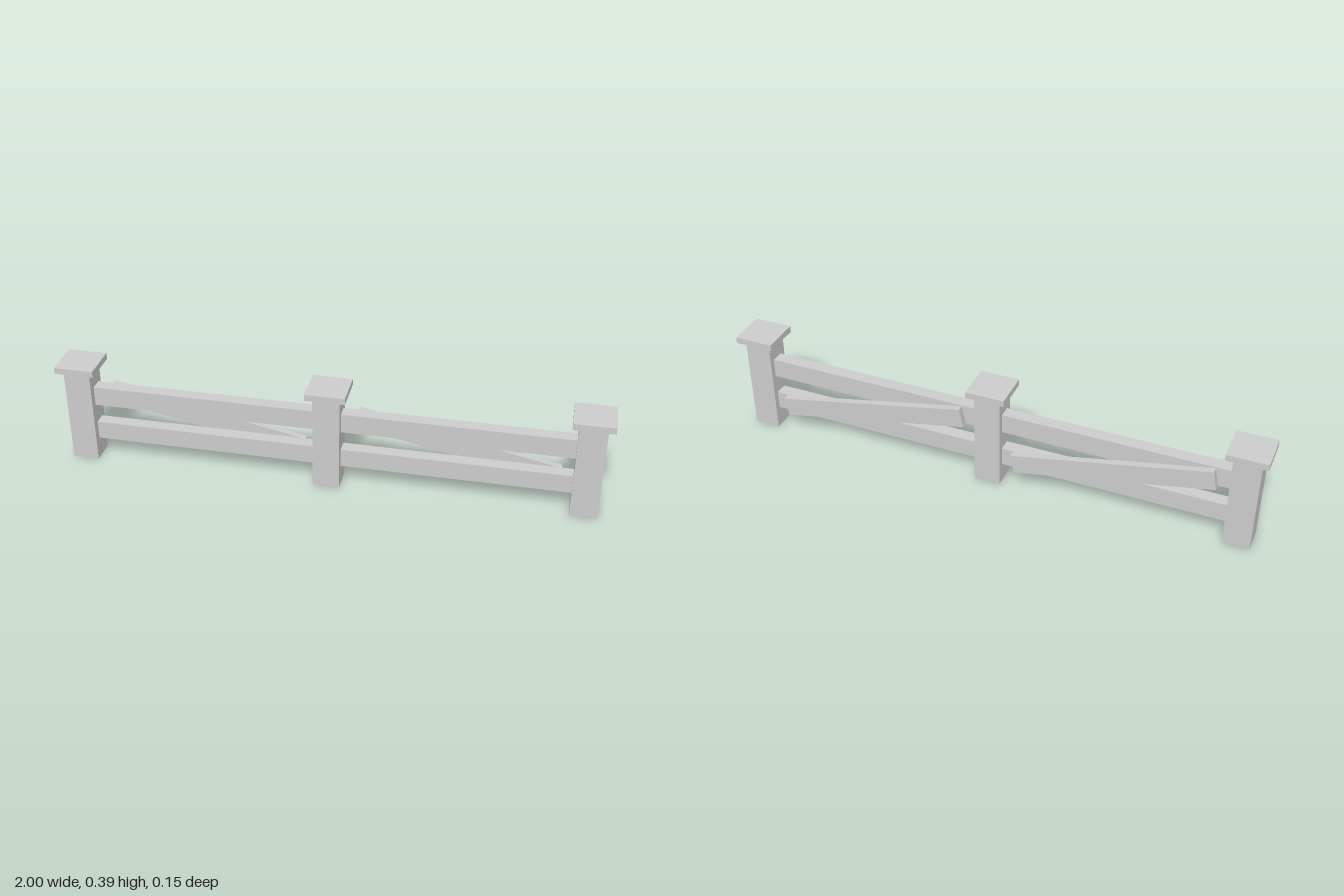
import * as THREE from 'three';

export function createModel() {
  const fence = new THREE.Group();
  fence.name = 'fence';
  const material = new THREE.MeshStandardMaterial({ color: 0xcccccc, flatShading: true });

  const addBox = (name, size, position, tilt = 0) => {
    const mesh = new THREE.Mesh(new THREE.BoxGeometry(...size), material);
    mesh.name = name;
    mesh.position.set(...position);
    mesh.rotation.z = tilt;
    fence.add(mesh);
  };

  // Square posts with flat caps
  for (const x of [-0.927, 0, 0.927]) {
    addBox('post', [0.098, 0.368, 0.098], [x, 0.184, 0]);
    addBox('postCap', [0.146, 0.024, 0.146], [x, 0.38, 0]);
  }

  // Two bays, each with two rails and a sloping brace on the back
  for (const x of [-0.4635, 0.4635]) {
    addBox('upperRail', [0.84, 0.074, 0.048], [x, 0.259, -0.003]);
    addBox('lowerRail', [0.84, 0.07, 0.048], [x, 0.113, -0.003]);
    addBox('brace', [0.744, 0.073, 0.025], [x, 0.183, -0.0395], -0.2);
  }

  return fence;
}
